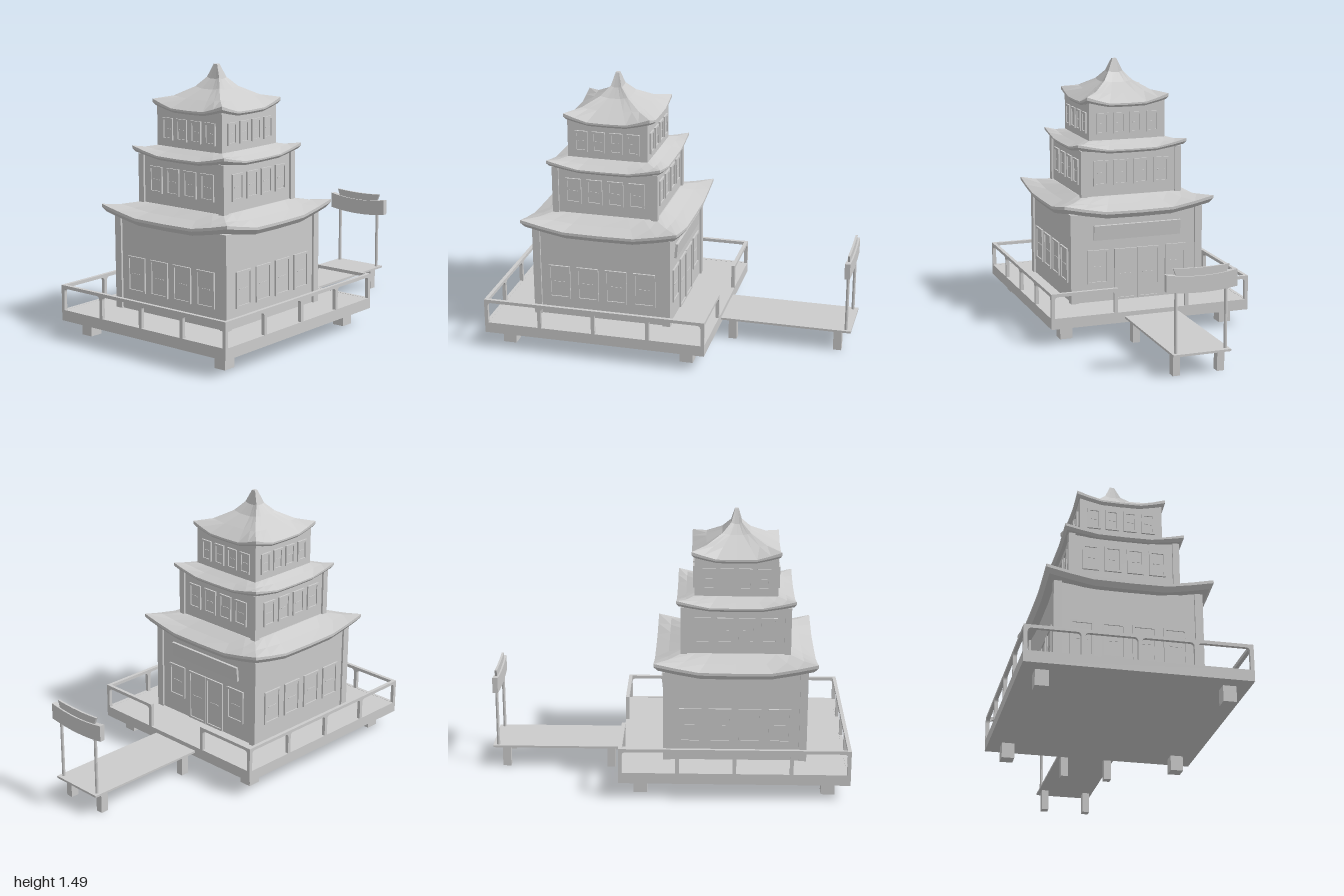
import * as THREE from 'three';

const mat = new THREE.MeshStandardMaterial({ color: 0xcccccc, flatShading: true, side: THREE.DoubleSide });
const CX = -0.37; // centre of the tower in x

function add(parent, name, geo, x = 0, y = 0, z = 0) {
  const m = new THREE.Mesh(geo, mat);
  m.name = name;
  m.position.set(x, y, z);
  parent.add(m);
  return m;
}

// Box given by its bottom height and top height
function box(parent, name, w, y0, y1, d, x = 0, z = 0) {
  return add(parent, name, new THREE.BoxGeometry(w, y1 - y0, d), x, (y0 + y1) / 2, z);
}

function extrude(shape, depth) {
  return new THREE.ExtrudeGeometry(shape, { depth, bevelEnabled: false, curveSegments: 8 });
}

function rect(x0, y0, x1, y1, Type = THREE.Shape) {
  const s = new Type();
  s.moveTo(x0, y0);
  s.lineTo(x1, y0);
  s.lineTo(x1, y1);
  s.lineTo(x0, y1);
  s.closePath();
  return s;
}

// Square roof lofted through rings [halfX, halfZ, yMiddle, yCorner]; corners sweep upward
function roofGeometry(rings) {
  const ts = [-1, -0.75, -0.45, 0, 0.45, 0.75];
  const lift = t => Math.max(0, (Math.abs(t) - 0.4) / 0.6) ** 1.2;
  const sides = [t => [t, 1], t => [1, -t], t => [-t, -1], t => [-1, t]];
  const pos = [], idx = [], n = ts.length * 4;
  for (const [hx, hz, ym, yc] of rings)
    for (const side of sides)
      for (const t of ts) {
        const [u, v] = side(t);
        pos.push(u * hx, ym + (yc - ym) * lift(t), v * hz);
      }
  for (let i = 0; i < rings.length - 1; i++)
    for (let j = 0; j < n; j++) {
      const a = i * n + j, b = i * n + (j + 1) % n;
      idx.push(a, b, b + n, a, b + n, a + n);
    }
  // close the top
  const top = (rings.length - 1) * n;
  for (let j = 1; j < n - 1; j++) idx.push(top, top + j, top + j + 1);
  const g = new THREE.BufferGeometry();
  g.setAttribute('position', new THREE.Float32BufferAttribute(pos, 3));
  g.setIndex(idx);
  const flat = g.toNonIndexed();
  flat.computeVertexNormals();
  return flat;
}

// Framed panel with a cross bar, lying on a wall that faces +z
function framedPanel(parent, name, x, y0, y1, w, z) {
  const g = new THREE.Group();
  g.name = name;
  const f = 0.012;
  const shape = rect(-w / 2, y0, w / 2, y1);
  shape.holes.push(rect(-w / 2 + f, y0 + f, w / 2 - f, y1 - f, THREE.Path));
  add(g, name + 'Frame', extrude(shape, 0.012), x, 0, z - 0.002);
  box(g, name + 'Pane', w - f, y0 + f / 2, y1 - f / 2, 0.006, x, z);
  const ym = (y0 + y1) / 2;
  box(g, name + 'Bar', w * 0.5, ym - 0.003, ym + 0.003, 0.01, x, z + 0.001);
  parent.add(g);
}

// Railing panel with chamfered openings, running along x from its centre
function railingGeometry(length, bays) {
  const p = 0.02, h = 0.14, c = 0.022;
  const shape = rect(-length / 2, 0, length / 2, h);
  const pitch = (length - p) / bays;
  for (let i = 0; i < bays; i++) {
    const a = -length / 2 + p + i * pitch, b = a + pitch - p, t = h - 0.018;
    const hole = new THREE.Path();
    hole.moveTo(a, 0.001);
    hole.lineTo(b, 0.001);
    hole.lineTo(b, t - c);
    hole.quadraticCurveTo(b, t, b - c, t);
    hole.lineTo(a + c, t);
    hole.quadraticCurveTo(a, t, a, t - c);
    hole.closePath();
    shape.holes.push(hole);
  }
  return extrude(shape, 0.02).translate(0, 0, -0.01);
}

function storey(tower, name, { half, y0, y1, post, win, doors }) {
  const g = new THREE.Group();
  g.name = name;
  tower.add(g);
  const wall = half - (post ? 0.012 : 0);
  box(g, name + 'Walls', wall * 2, y0, y1, wall * 2);
  if (post)
    for (const sx of [-1, 1])
      for (const sz of [-1, 1])
        box(g, name + 'CornerPost', post, y0, y1, post, sx * (half - post / 2), sz * (half - post / 2));
  for (let k = 0; k < 4; k++) {
    const face = new THREE.Group();
    face.name = name + 'Face';
    face.rotation.y = k * Math.PI / 2;
    g.add(face);
    if (doors && k === 1) {
      // entrance side: two doors, a window each side and a plaque above
      for (const s of [-1, 1]) {
        framedPanel(face, 'door', s * 0.069, 0.158, 0.455, 0.132, wall);
        framedPanel(face, 'window', s * 0.235, win.y0, win.y1, 0.125, wall);
      }
      const plaque = box(face, 'entrancePlaque', 0.52, 0.515, 0.6, 0.014, 0, wall + 0.012);
      plaque.rotation.x = 0.1;
    } else {
      for (let i = 0; i < 4; i++)
        framedPanel(face, 'window', (i - 1.5) * win.pitch, win.y0, win.y1, win.w, wall);
    }
  }
}

export function createModel() {
  const model = new THREE.Group();
  model.name = 'pagoda';

  // Deck on four feet
  box(model, 'deck', 1.26, 0.095, 0.155, 1.17, CX);
  for (const sx of [-1, 1])
    for (const sz of [-1, 1])
      box(model, 'deckFoot', 0.075, 0.01, 0.095, 0.07, CX + sx * 0.513, sz * 0.477);

  // Railings, open on the bridge side
  const front = railingGeometry(1.26, 4), left = railingGeometry(1.17, 4), short = railingGeometry(0.385, 1);
  for (const s of [-1, 1]) {
    add(model, 'longRailing', front, CX, 0.155, s * 0.575);
    add(model, 'gateRailing', short, 0.25, 0.155, s * 0.3925).rotation.y = Math.PI / 2;
  }
  add(model, 'rearRailing', left, -0.99, 0.155, 0).rotation.y = Math.PI / 2;

  // Tower storeys
  const tower = new THREE.Group();
  tower.name = 'tower';
  tower.position.x = CX - 0.003;
  model.add(tower);
  storey(tower, 'groundStorey', { half: 0.396, y0: 0.155, y1: 0.67, post: 0.043, doors: true,
    win: { y0: 0.26, y1: 0.457, w: 0.125, pitch: 0.164 } });
  storey(tower, 'middleStorey', { half: 0.302, y0: 0.72, y1: 1.01, post: 0.036,
    win: { y0: 0.805, y1: 0.95, w: 0.09, pitch: 0.121 } });
  storey(tower, 'upperStorey', { half: 0.228, y0: 1.03, y1: 1.27,
    win: { y0: 1.09, y1: 1.21, w: 0.073, pitch: 0.1 } });

  // Roofs: underside, rim, then the upper slope
  add(tower, 'lowerRoof', roofGeometry([
    [0.36, 0.36, 0.645, 0.665], [0.425, 0.425, 0.642, 0.69], [0.445, 0.445, 0.668, 0.718],
    [0.445, 0.445, 0.683, 0.735], [0.37, 0.37, 0.71, 0.732], [0.295, 0.295, 0.745, 0.745]]));
  add(tower, 'middleRoof', roofGeometry([
    [0.28, 0.28, 0.995, 1.005], [0.312, 0.312, 0.99, 1.02], [0.325, 0.325, 1.003, 1.038],
    [0.325, 0.325, 1.012, 1.053], [0.275, 0.275, 1.032, 1.046], [0.222, 0.222, 1.056, 1.056]]));
  add(tower, 'topRoof', roofGeometry([
    [0.2, 0.2, 1.245, 1.26], [0.234, 0.234, 1.24, 1.272], [0.245, 0.245, 1.252, 1.288],
    [0.245, 0.245, 1.262, 1.306], [0.165, 0.165, 1.312, 1.322], [0.078, 0.085, 1.36, 1.37],
    [0.03, 0.043, 1.412, 1.42], [0.01, 0.012, 1.49, 1.49]]));

  // Bridge
  box(model, 'bridge', 0.74, 0.118, 0.13, 0.32, 0.63);
  for (const x of [0.325, 0.925])
    for (const s of [-1, 1]) box(model, 'bridgeFoot', 0.046, 0, 0.12, 0.04, x, s * 0.124);

  // Gate: two poles carrying a curved board with a crest
  const gate = new THREE.Group();
  gate.name = 'gate';
  gate.position.x = 0.971;
  model.add(gate);
  for (const s of [-1, 1])
    add(gate, 'gatePole', new THREE.CylinderGeometry(0.009, 0.009, 0.35, 10), 0, 0.3, s * 0.138);
  const board = new THREE.Shape();
  board.moveTo(-0.196, 0.462);
  board.quadraticCurveTo(0, 0.43, 0.196, 0.462);
  board.lineTo(0.196, 0.552);
  board.quadraticCurveTo(0, 0.515, -0.196, 0.552);
  board.closePath();
  add(gate, 'gateBoard', extrude(board, 0.03), -0.015).rotation.y = Math.PI / 2;
  const crest = new THREE.Shape();
  crest.moveTo(-0.135, 0.53);
  crest.lineTo(0.135, 0.53);
  crest.lineTo(0.155, 0.582);
  crest.quadraticCurveTo(0, 0.568, -0.155, 0.582);
  crest.closePath();
  add(gate, 'gateCrest', extrude(crest, 0.012), -0.006).rotation.y = Math.PI / 2;

  return model;
}
